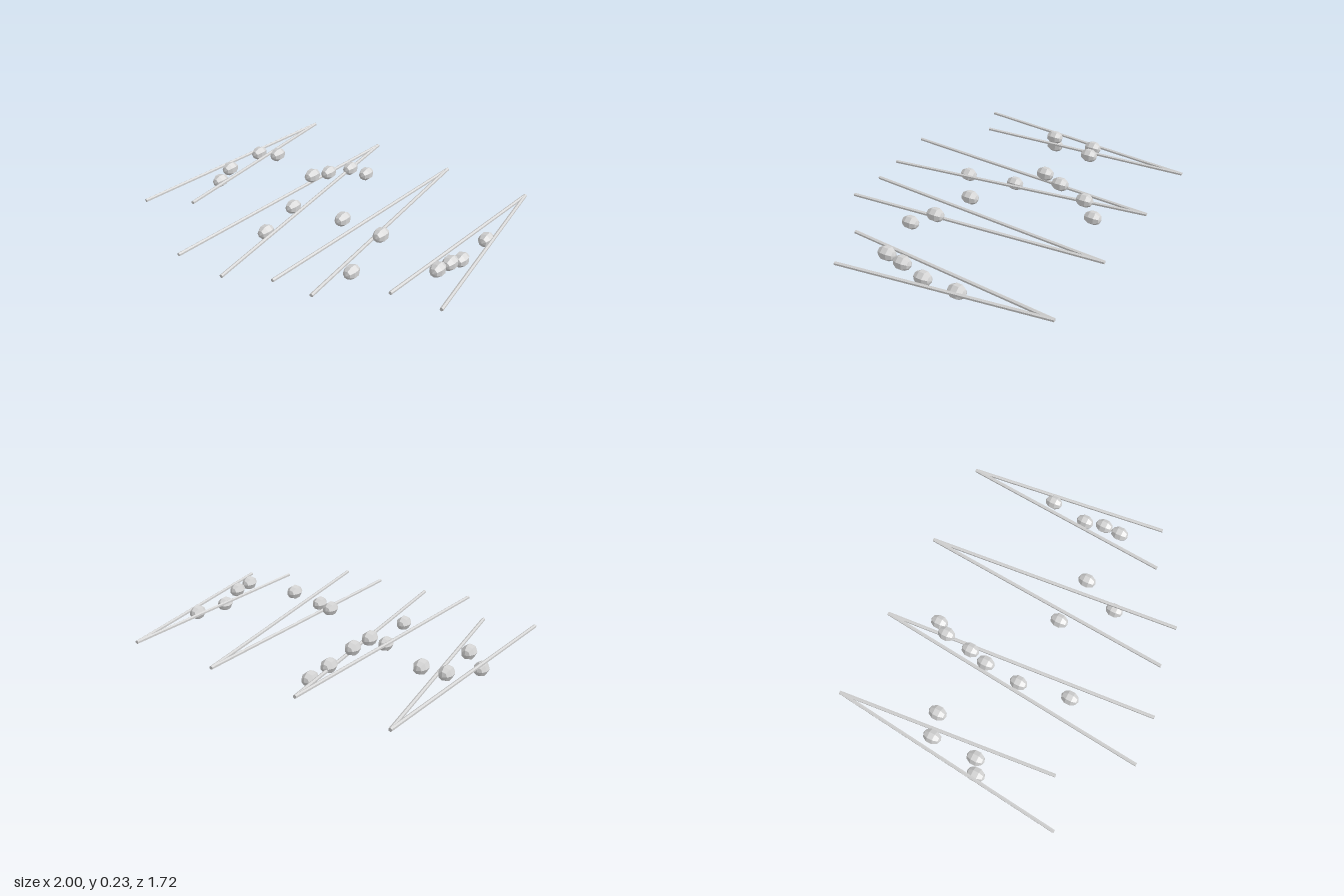
import * as THREE from 'three';

const Z_AXIS = new THREE.Vector3(0, 0, 1);

export function createModel() {
  const model = new THREE.Group();
  model.name = 'rodsAndBeads';
  const grey = new THREE.MeshStandardMaterial({ color: 0xd2d2d2, flatShading: true });
  grey.name = 'lightGrey';

  // Unit-length six-sided rod along z, and a faceted bead stretched along z
  const rodGeometry = new THREE.CylinderGeometry(0.011, 0.011, 1, 6).rotateX(Math.PI / 2);
  const beadGeometry = new THREE.SphereGeometry(1, 7, 5).rotateX(Math.PI / 2).scale(0.044, 0.044, 0.056);

  function addRod(group, name, from, to) {
    const a = new THREE.Vector3(...from);
    const b = new THREE.Vector3(...to);
    const rod = new THREE.Mesh(rodGeometry, grey);
    rod.name = name;
    rod.position.copy(a).lerp(b, 0.5);
    rod.scale.z = a.distanceTo(b);
    rod.quaternion.setFromUnitVectors(Z_AXIS, b.sub(a).normalize());
    group.add(rod);
  }

  // Each set: two rods spreading forward from a shared tip, with scattered beads
  const sets = [
    {
      tip: -0.845, ends: [[-0.989, 0.128, 0.608], [-0.713, 0.153, 0.479]],
      beads: [[-0.832, 0.157, -0.248], [-0.7, 0.172, -0.284], [-0.897, 0.061, 0.063], [-0.829, 0.16, 0.033]],
    },
    {
      tip: -0.29, ends: [[-0.438, 0.092, 0.857], [-0.13, 0.067, 0.836]],
      beads: [[-0.182, 0.077, -0.574], [-0.245, 0.135, -0.484], [-0.28, 0.172, -0.299],
        [-0.315, 0.191, -0.177], [-0.302, 0.065, 0.029], [-0.247, 0.061, 0.343]],
    },
    {
      tip: 0.265, ends: [[0.16, 0.115, 0.742], [0.416, 0.127, 0.728]],
      beads: [[0.126, 0.165, 0.084], [0.424, 0.192, 0.122], [0.383, 0.043, 0.338]],
    },
    {
      tip: 0.821, ends: [[0.724, 0.126, 0.461], [0.989, 0.1, 0.386]],
      beads: [[0.854, 0.109, -0.315], [0.831, 0.087, -0.082], [0.833, 0.137, 0.048], [0.822, 0.15, 0.158]],
    },
  ];

  sets.forEach(({ tip, ends, beads }, i) => {
    const group = new THREE.Group();
    group.name = `rodPair${i + 1}`;
    addRod(group, 'rightRod', [tip, 0.138, -0.86], ends[0]);
    addRod(group, 'leftRod', [tip, 0.138, -0.86], ends[1]);
    beads.forEach((p, j) => {
      const bead = new THREE.Mesh(beadGeometry, grey);
      bead.name = `bead${j + 1}`;
      bead.position.set(...p);
      group.add(bead);
    });
    model.add(group);
  });
  return model;
}
